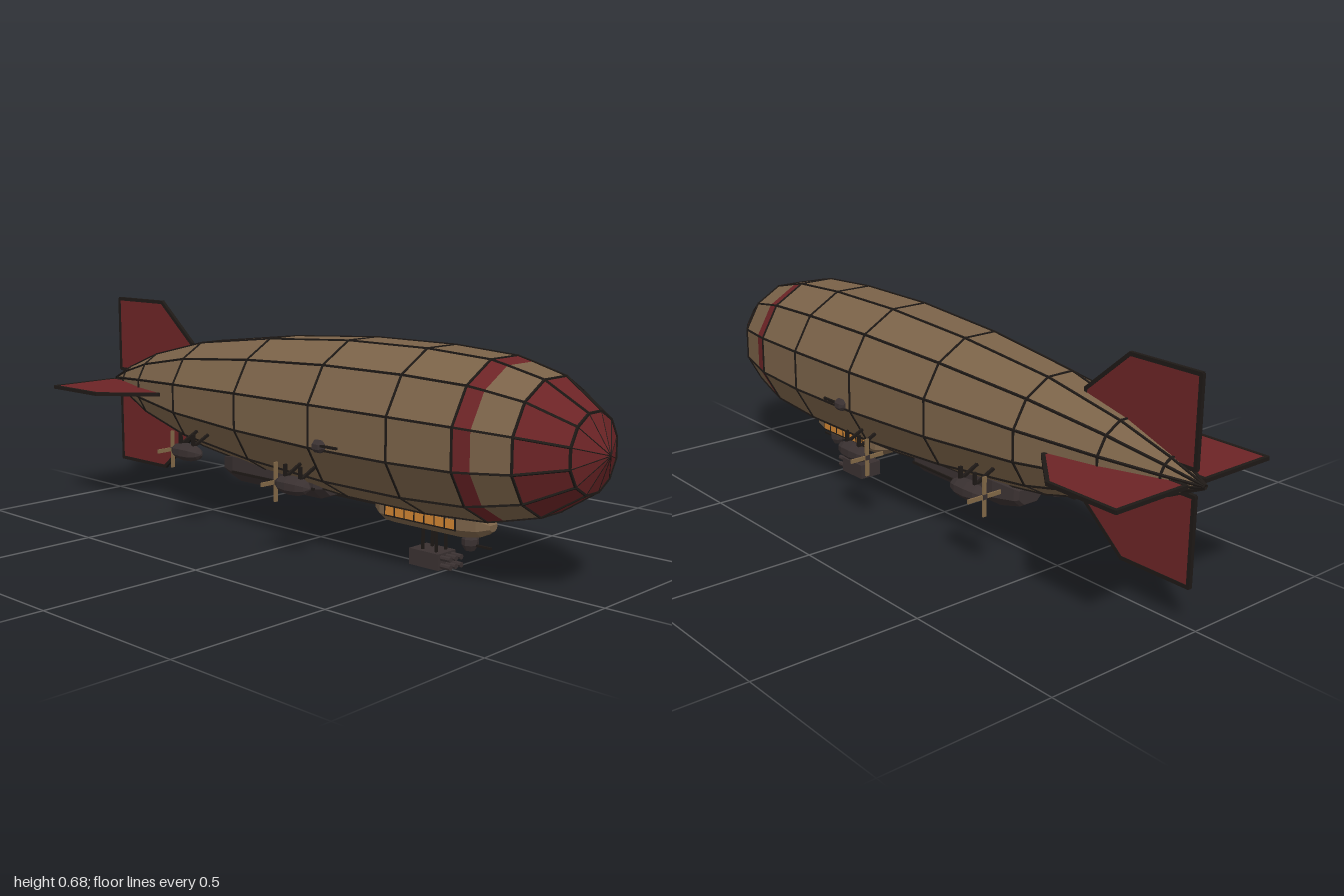
import * as THREE from 'three';
import { mergeGeometries } from 'three/addons/utils/BufferGeometryUtils.js';

const mat = (name, color) => {
  const m = new THREE.MeshStandardMaterial({ color, flatShading: true });
  m.name = name;
  return m;
};
const AXIS = 0.393; // height of the hull centreline

// Regular n-sided section as [y, z] pairs
const ring = (n, offset = Math.PI / n) => Array.from({ length: n }, (_, i) => {
  const a = offset + (i * 2 * Math.PI) / n;
  return [Math.cos(a), Math.sin(a)];
});

// Skin a section along x; each station is [x, scale]
function loft(section, stations, cy = 0, cz = 0, caps = true) {
  const v = [], n = section.length;
  const p = (i, j) => {
    const [x, s] = stations[i], [y, z] = section[j % n];
    return [x, cy + y * s, cz + z * s];
  };
  const last = stations.length - 1;
  for (let j = 0; j < n; j++) {
    for (let i = 0; i < last; i++) {
      const a = p(i, j), b = p(i + 1, j), c = p(i + 1, j + 1), d = p(i, j + 1);
      v.push(...a, ...d, ...c, ...a, ...c, ...b);
    }
    if (caps) {
      v.push(stations[0][0], cy, cz, ...p(0, j + 1), ...p(0, j));
      v.push(stations[last][0], cy, cz, ...p(last, j), ...p(last, j + 1));
    }
  }
  const g = new THREE.BufferGeometry();
  g.setAttribute('position', new THREE.Float32BufferAttribute(v, 3));
  g.computeVertexNormals();
  return g;
}

// Square bar between two points
function beam(a, b, w) {
  const A = new THREE.Vector3(...a), B = new THREE.Vector3(...b);
  const d = B.clone().sub(A);
  const g = new THREE.BoxGeometry(w, d.length() + w * 0.5, w);
  g.applyQuaternion(new THREE.Quaternion().setFromUnitVectors(new THREE.Vector3(0, 1, 0), d.normalize()));
  const m = A.add(B).multiplyScalar(0.5);
  return g.translate(m.x, m.y, m.z);
}

const box = (w, h, d, x, y, z) => new THREE.BoxGeometry(w, h, d).translate(x, y, z);

export function createModel() {
  const root = new THREE.Group();
  root.name = 'airship';
  const tan = mat('canvas tan', 0x7a6248);
  const red = mat('dark red', 0x6c2426);
  const iron = mat('dark iron', 0x3a3131);
  const black = mat('black frame', 0x1e1916);
  const glow = mat('window orange', 0xd08432);
  const wood = mat('propeller wood', 0x846a48);
  const add = (name, geometry, material, parent = root) => {
    const m = new THREE.Mesh(geometry, material);
    m.name = name;
    parent.add(m);
    return m;
  };

  // Hull skin in coloured bands
  const hull = [[-1, 0.004], [-0.9, 0.05], [-0.74, 0.108], [-0.49, 0.167], [-0.16, 0.206], [0.17, 0.227],
    [0.46, 0.228], [0.67, 0.216], [0.72, 0.205], [0.83, 0.178], [0.95, 0.104], [1, 0.0005]]
    .map(([x, r]) => [x, r / Math.cos(Math.PI / 12)]);
  const sides = ring(12);
  const skin = (name, from, to, m) => add(name, loft(sides, hull.slice(from, to + 1), AXIS, 0, false), m);
  skin('hullBody', 0, 7, tan);
  skin('hullStripe', 7, 8, red);
  skin('hullShoulder', 8, 9, tan);
  skin('hullNose', 9, 11, red);

  // Frame of ribs and stringers over the skin
  const ribs = [];
  const at = (i, j) => {
    const [x, r] = hull[i], [y, z] = sides[j % 12];
    return [x, AXIS + y * r, z * r];
  };
  for (let i = 0; i < hull.length - 1; i++) {
    for (let j = 0; j < 12; j++) {
      ribs.push(beam(at(i, j), at(i + 1, j), i === 10 ? 0.002 : 0.006));
      if (i > 0 && i !== 8) ribs.push(beam(at(i, j), at(i, j + 1), 0.006));
    }
  }
  add('hullFrame', mergeGeometries(ribs), black);

  // Four tail fins with dark edging
  const outline = [[-0.97, 0.036], [-0.97, 0.28], [-0.74, 0.28], [-0.59, 0.153], [-0.59, 0.036]];
  const finGeo = new THREE.ExtrudeGeometry(
    new THREE.Shape(outline.map(([x, y]) => new THREE.Vector2(x, y))),
    { depth: 0.008, bevelEnabled: false }).translate(0, 0, -0.004);
  const edgeGeo = mergeGeometries(outline.map(([x, y], i) => {
    const [x2, y2] = outline[(i + 1) % outline.length];
    return beam([x, y, 0], [x2, y2, 0], 0.011);
  }));
  ['topFin', 'leftFin', 'bottomFin', 'rightFin'].forEach((name, i) => {
    const fin = new THREE.Group();
    fin.name = name;
    fin.position.y = AXIS;
    fin.rotation.x = (i * Math.PI) / 2;
    add('finPanel', finGeo, red, fin);
    add('finEdge', edgeGeo, black, fin);
    root.add(fin);
  });

  // Engine pods with pusher propellers
  const engine = (name, x, y, z, side) => {
    const g = new THREE.Group();
    g.name = name;
    g.position.set(x, y, z * side);
    add('enginePod', loft(ring(8), [[-0.065, 0.01], [-0.045, 0.023], [-0.01, 0.028], [0.03, 0.026], [0.055, 0.017], [0.068, 0.003]]), iron, g);
    add('propellerHub', box(0.014, 0.014, 0.014, -0.068, 0, 0), iron, g);
    add('propeller', mergeGeometries([box(0.005, 0.116, 0.012, -0.07, 0, 0), box(0.005, 0.012, 0.116, -0.07, 0, 0)]), wood, g);
    const struts = [];
    for (const dx of [-0.03, 0.03]) {
      struts.push(box(0.008, 0.058, 0.01, dx, 0.029, 0));
      struts.push(beam([dx, 0.02, 0], [dx, 0.055, -0.07 * side], 0.008));
    }
    add('engineStruts', mergeGeometries(struts), black, g);
    root.add(g);
  };
  // Side gun blisters
  for (const s of [1, -1]) {
    const label = s > 0 ? 'front' : 'back';
    engine(label + 'ForeEngine', 0.13, 0.221, 0.247, s);
    engine(label + 'AftEngine', -0.365, 0.245, 0.218, s);
    add(label + 'GunBlister', loft(ring(8), [[0.193, 0.008], [0.203, 0.019], [0.225, 0.019], [0.237, 0.008]], 0.343, 0.228 * s), iron);
    add(label + 'Gun', box(0.07, 0.007, 0.007, 0.255, 0.347, 0.238 * s), black);
  }

  // Cargo bay under the belly, and the pipe leading to the cabin
  const keel = (w, top, mid, low, lw) => [[top, w], [mid, w], [low, lw], [low, -lw], [mid, -w], [top, -w]];
  add('cargoBay', loft(keel(0.08, 0.04, -0.01, -0.043, 0.045),
    [[-0.385, 0.55], [-0.375, 0.7], [-0.31, 1], [0.045, 1], [0.07, 0.75]], 0.178), iron);
  add('cargoRails', mergeGeometries([1, -1].map((s) => box(0.36, 0.008, 0.008, -0.13, 0.17, 0.08 * s))), black);
  add('bellyPipe', box(0.22, 0.006, 0.006, 0.16, 0.143, 0), black);

  // Control cabin with lit windows
  add('cabin', loft(keel(0.057, 0.028, -0.012, -0.037, 0.027),
    [[0.245, 0.45], [0.285, 0.95], [0.32, 1], [0.56, 1], [0.62, 0.75], [0.648, 0.28]], 0.146), tan);
  const panes = [], mullions = [];
  for (const s of [1, -1]) {
    for (let i = 0; i < 7; i++) panes.push(box(0.032, 0.026, 0.005, 0.328 + i * 0.036, 0.149, 0.057 * s));
    for (let i = 0; i < 8; i++) mullions.push(box(0.004, 0.034, 0.006, 0.31 + i * 0.036, 0.15, 0.057 * s));
    mullions.push(box(0.256, 0.004, 0.006, 0.436, 0.134, 0.057 * s));
  }
  add('cabinWindows', mergeGeometries(panes), glow);
  add('windowFrames', mergeGeometries(mullions), black);

  // Chin and tail gun turrets
  const turret = (name, x, y, r, dir) => {
    const profile = [[0.001, -0.9], [0.6, -0.9], [1, -0.2], [1, 0.5], [0.7, 0.9], [0.001, 0.9]];
    add(name, new THREE.LatheGeometry(profile.map(([a, b]) => new THREE.Vector2(a * r, b * r)), 8).translate(x, y, 0), iron);
    add(name + 'Gun', box(0.065, 0.006, 0.006, x + dir * 0.04, y - r * 0.2, 0), black);
  };
  turret('chinTurret', 0.57, 0.091, 0.024, 1);
  turret('tailTurret', -0.488, 0.227, 0.02, -1);

  // Hanging launcher with six barrels
  add('launcherBox', box(0.105, 0.047, 0.077, 0.437, 0.0245, 0), iron);
  const hangers = [], barrels = [];
  for (const z of [0.021, -0.021]) {
    for (const x of [0.42, 0.468]) hangers.push(box(0.007, 0.075, 0.007, x, 0.083, z));
  }
  for (const y of [0.013, 0.036]) {
    for (const z of [-0.024, 0, 0.024]) {
      barrels.push(new THREE.CylinderGeometry(0.008, 0.008, 0.04, 8).rotateZ(Math.PI / 2).translate(0.503, y, z));
    }
  }
  add('launcherHangers', mergeGeometries(hangers), black);
  add('launcherBarrels', mergeGeometries(barrels), iron);
  return root;
}
